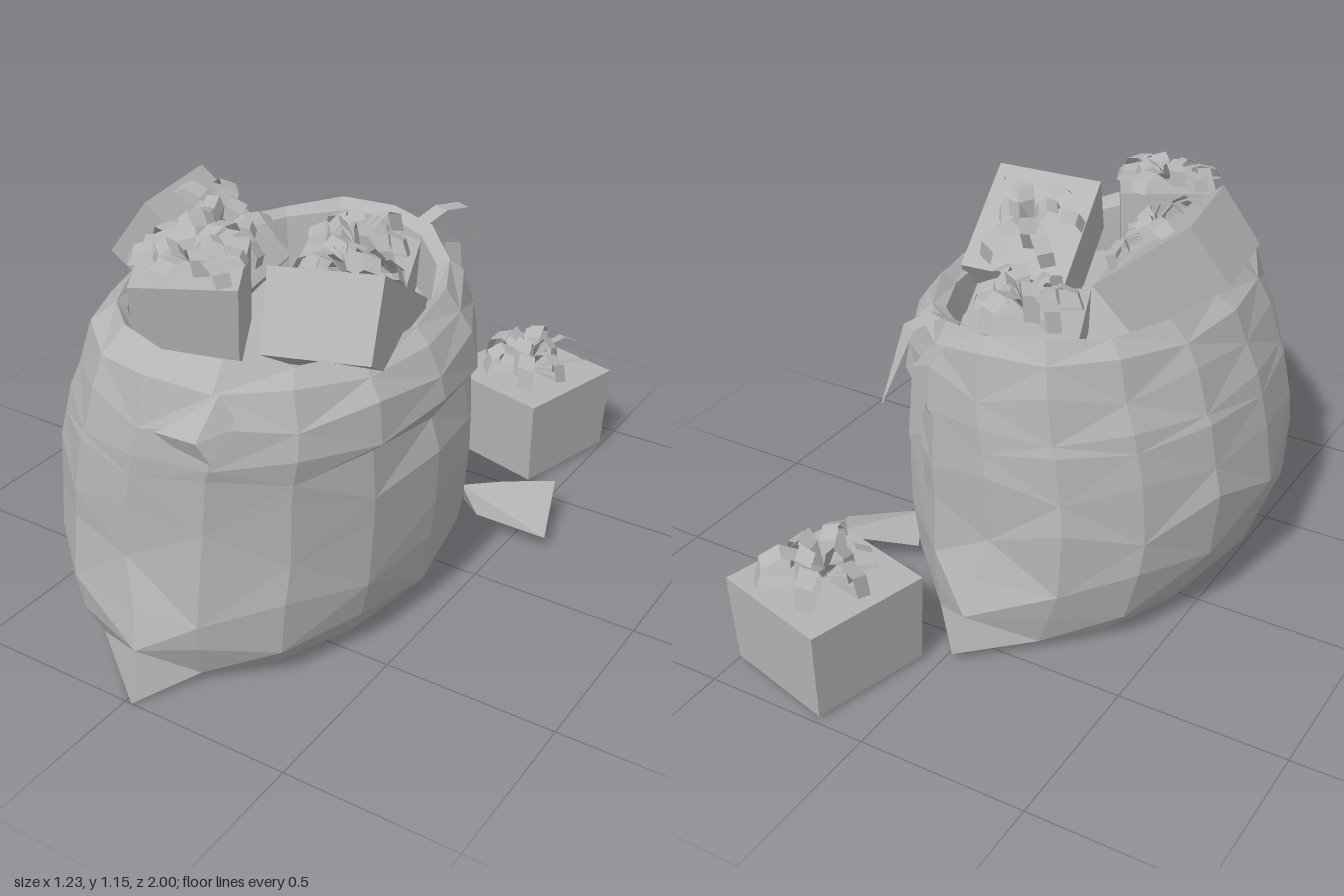
import * as THREE from 'three';
import { ConvexGeometry } from 'three/addons/geometries/ConvexGeometry.js';

const clay = new THREE.MeshStandardMaterial({ color: 0xb4b4b4, side: THREE.DoubleSide, flatShading: true });
clay.name = 'plain grey';

const v = (x, y, z) => new THREE.Vector3(x, y, z);
const hash = (i, j) => { const s = Math.sin(i * 12.99 + j * 78.23) * 43758.5; return s - Math.floor(s) - 0.5; };

function add(parent, name, geometry) {
  const flat = geometry.index ? geometry.toNonIndexed() : geometry;
  flat.computeVertexNormals();
  const mesh = new THREE.Mesh(flat, clay);
  mesh.name = name;
  parent.add(mesh);
  return mesh;
}

// Surface through rows of points; closed rows wrap round, diagonals alternate
function loft(rows, closed) {
  const n = rows[0].length, index = [];
  for (let r = 0; r < rows.length - 1; r++)
    for (let i = 0; i < (closed ? n : n - 1); i++) {
      const a = r * n + i, b = r * n + (i + 1) % n;
      if ((r + i) % 2) index.push(a, a + n, b, a + n, b + n, b);
      else index.push(a, a + n, b + n, a, b + n, b);
    }
  const g = new THREE.BufferGeometry().setFromPoints(rows.flat());
  g.setIndex(index);
  return g;
}

// Flat ribbon along points, widened along a side direction
function ribbon(points, side, widths) {
  return loft(points.map((p, i) => {
    const w = side.clone().multiplyScalar(widths[i] / 2);
    return [p.clone().sub(w), p.clone().add(w)];
  }), false);
}

// Sack: rings from the base up over the rim and down to the inner floor
function sackGeometry() {
  const N = 16;
  // y, xMin, xMax, zMin, zMax, rim sway, height stagger, flank tuck
  const levels = [
    [0.03, -0.04, -0.04, 0.2, 0.2, 0, 0, 0],
    [0.03, -0.48, 0.39, -0.49, 0.88, 0, 0, 0],
    [0.11, -0.545, 0.44, -0.49, 0.91, 0, 0.02, 0],
    [0.23, -0.595, 0.465, -0.485, 0.91, 0, 0.03, 0],
    [0.38, -0.612, 0.48, -0.47, 0.89, 0, 0.035, 0],
    [0.51, -0.595, 0.48, -0.46, 0.885, 0, 0.03, 0],
    [0.62, -0.57, 0.485, -0.455, 0.88, 0, 0.015, 0.035],
    [0.67, -0.555, 0.492, -0.45, 0.875, 0, 0.015, 0],
    [0.77, -0.515, 0.48, -0.43, 0.86, 0.3, 0.02, 0],
    [0.86, -0.475, 0.435, -0.41, 0.825, 0.8, 0.01, 0],
    [0.91, -0.42, 0.385, -0.375, 0.75, 1, 0.01, 0],
    [0.885, -0.39, 0.345, -0.34, 0.72, 1, 0, 0],
    [0.74, -0.36, 0.33, -0.31, 0.69, 0, 0, 0],
    [0.74, -0.04, -0.04, 0.2, 0.2, 0, 0, 0],
  ];
  // Cloth corners pinched out at the base: [front, back] points for the lower rings
  const corners = {
    1: [v(0.02, 0, 1), v(-0.03, 0.03, -0.61)],
    2: [v(0, 0.13, 0.95), v(-0.04, 0.13, -0.56)],
    3: [v(-0.02, 0.23, 0.92), v(-0.05, 0.23, -0.51)],
  };
  return loft(levels.map(([y, x0, x1, z0, z1, sway, stagger, tuck], r) => {
    const row = [];
    for (let i = 0; i < N; i++) {
      const a = i / N * Math.PI * 2, c = Math.cos(a), s = Math.sin(a);
      const k = 1 + stagger * 0.7 * hash(r, i);
      row.push(v((x0 + x1) / 2 + (x1 - x0) / 2 * c * k - tuck * Math.max(0, Math.cos(a + 0.4)) ** 2,
        y + sway * (0.02 * s * s - 0.045 * Math.max(0, c)) + stagger * ((i + r) % 2 ? 1 : -1) * (0.7 + hash(i, r)),
        (z0 + z1) / 2 + (z1 - z0) / 2 * s * k));
    }
    if (corners[r]) [row[N / 4], row[3 * N / 4]] = corners[r];
    return row;
  }), true);
}

// Bow of looped ribbon, standing on y = 0
function makeBow(squash) {
  const bow = new THREE.Group();
  bow.name = 'bow';
  const loops = [[6, 0.17, 0.095, 0], [4, 0.1, 0.13, 0.45]];
  loops.forEach(([count, reach, height, turn], tier) => {
    for (let i = 0; i < count; i++) {
      const k = 1 + 0.25 * hash(i, tier);
      const path = [[0, 0.02], [0.3, 0.75], [0.6, 1], [0.9, 0.75], [1, 0.1], [0.2, 0.03]]
        .map(([r, h]) => v(r * reach * k, h * height * k + 0.005, 0));
      const loop = add(bow, 'bowLoop', ribbon(path, v(0, 0.25, 1), [0.02, 0.045, 0.05, 0.05, 0.045, 0.02]));
      loop.rotation.y = turn + i / count * Math.PI * 2 + 0.3 * hash(tier + 3, i);
    }
  });
  bow.scale.y = squash;
  return bow;
}

// Gift whose origin is the middle of its lid
function makeGift(name, [width, depth, length], bowSquash, position, rotation) {
  const gift = new THREE.Group();
  gift.name = name;
  const box = new THREE.BoxGeometry(width, depth, length).translate(0, -depth / 2, 0);
  const p = box.attributes.position;
  for (let i = 0; i < p.count; i++)
    if (p.getY(i) < -0.01) { p.setX(i, p.getX(i) * 0.95); p.setZ(i, p.getZ(i) * 0.95); }
  add(gift, 'giftBox', box);
  gift.add(makeBow(bowSquash));
  gift.position.set(...position);
  gift.rotation.set(...rotation, 'YXZ');
  return gift;
}

export function createModel() {
  const model = new THREE.Group();
  model.name = 'giftSack';
  add(model, 'sack', sackGeometry());

  // Gathered fold on the front of the cloth
  add(model, 'frontFold', new ConvexGeometry([
    v(-0.06, 0.745, 0.85), v(0.19, 0.7, 0.84), v(0.17, 0.86, 0.77),
    v(0.16, 0.76, 0.86), v(0.22, 0.78, 0.76), v(0.1, 0.76, 0.75)]));
  // Loose cloth corner near the base
  add(model, 'clothCorner', new ConvexGeometry([
    v(0.34, 0.15, -0.2), v(0.43, 0.14, -0.3), v(0.55, 0.12, -0.42),
    v(0.615, 0.045, -0.22), v(0.4, 0.07, -0.19), v(0.32, 0.06, -0.26)]));

  // Drawstring ends at the back
  add(model, 'upperTie', ribbon([v(0.1, 0.91, -0.32), v(0.14, 0.95, -0.38), v(0.17, 0.94, -0.46), v(0.22, 0.73, -0.53)],
    v(1, 0, 0.4), [0.05, 0.05, 0.045, 0.004]));
  add(model, 'lowerTie', ribbon([v(0.12, 0.87, -0.4), v(0.15, 0.82, -0.44), v(0.16, 0.62, -0.47), v(0.14, 0.38, -0.46)],
    v(0.8, 0, -0.5), [0.05, 0.05, 0.035, 0.004]));

  // Gifts
  model.add(
    makeGift('looseGift', [0.38, 0.27, 0.38], 1, [0.275, 0.28, -0.765], [0, -0.26, 0]),
    makeGift('rightGift', [0.36, 0.2, 0.32], 0.55, [-0.21, 1.02, 0.24], [0, 0.15, -0.68]),
    makeGift('leftGift', [0.32, 0.23, 0.38], 0.7, [0.21, 0.965, 0.24], [-0.56, 0.17, 0.08]),
    makeGift('frontGift', [0.28, 0.25, 0.28], 0.5, [-0.09, 1.06, 0.53], [0.1, 0.5, 0]),
    makeGift('backGift', [0.33, 0.2, 0.33], 0.9, [0.02, 0.87, -0.11], [0, 0.4, 0]),
  );
  return model;
}
